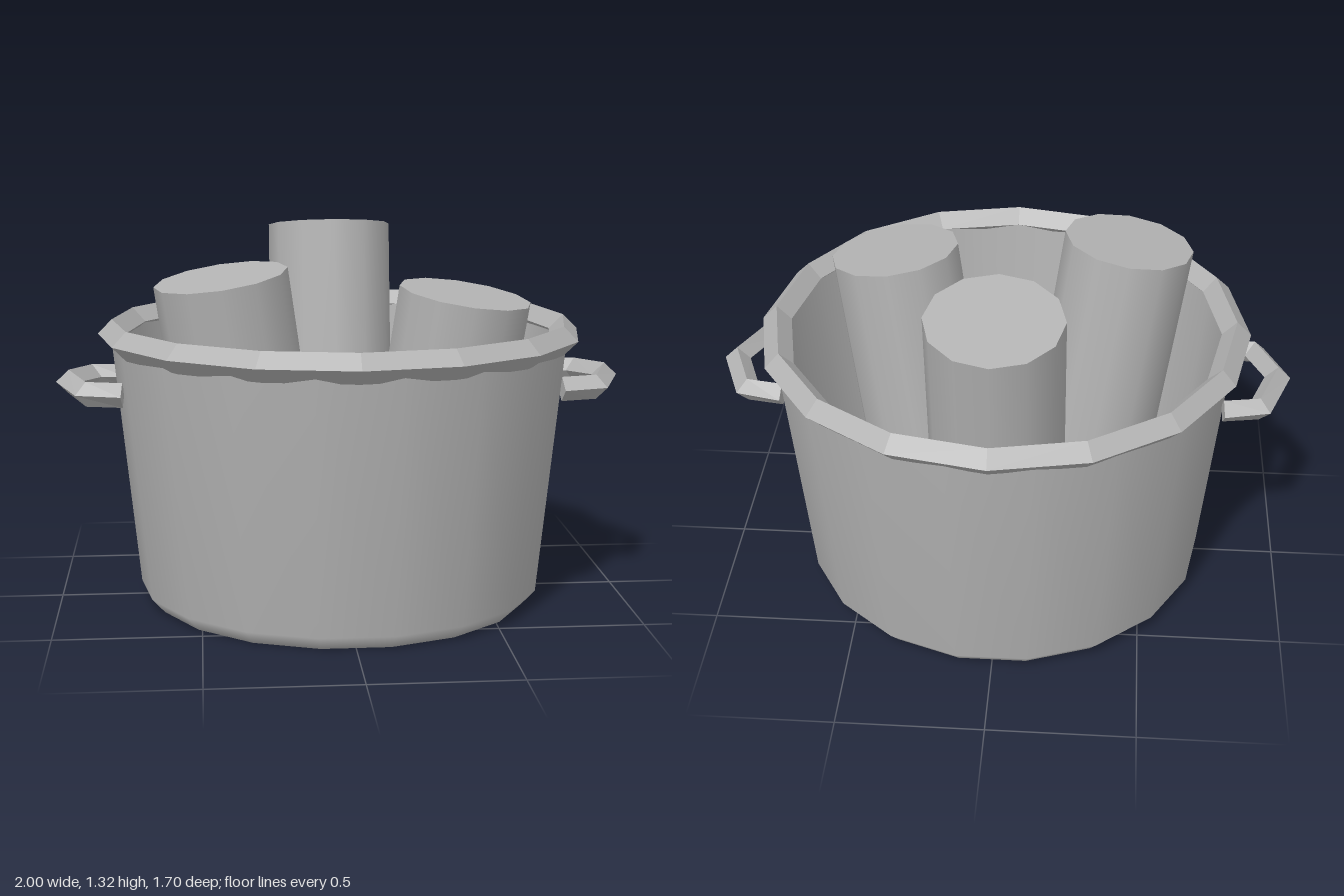
import * as THREE from 'three';

const SIDES = 18;
const V2 = (x, y) => new THREE.Vector2(x, y);

export function createModel() {
  const model = new THREE.Group();
  const grey = new THREE.MeshStandardMaterial({ color: 0xb3b3b3 });
  grey.name = 'grey';
  const greyFlat = grey.clone(); // same colour, faceted
  greyFlat.name = 'grey faceted';
  greyFlat.flatShading = true;

  const add = (name, geometry, material = grey) => {
    const mesh = new THREE.Mesh(geometry, material);
    mesh.name = name;
    model.add(mesh);
    return mesh;
  };
  const lathe = (points) => new THREE.LatheGeometry(points, SIDES, Math.PI / 2);

  // Pot body: outer wall with a chamfered foot, inner wall, base and floor
  add('outerWall', lathe([V2(0.67, 0), V2(0.715, 0.05), V2(0.805, 0.95)]));
  add('innerWall', lathe([V2(0.76, 0.95), V2(0.66, 0.05)]));
  add('base', new THREE.CircleGeometry(0.67, SIDES).rotateX(Math.PI / 2));
  add('floor', new THREE.CircleGeometry(0.66, SIDES).rotateX(-Math.PI / 2).translate(0, 0.05, 0));

  // Diamond-section rim
  add('rim', new THREE.TorusGeometry(0.8, 0.05, 4, 16).rotateX(-Math.PI / 2).translate(0, 0.95, 0), greyFlat);

  // Side handles: diamond tube bent through five stations
  add('leftHandle', handleGeometry(), greyFlat);
  add('rightHandle', handleGeometry().rotateY(Math.PI), greyFlat);

  // Leaning cylinders standing in the pot: bottom centre, top centre
  const up = new THREE.Vector3(0, 1, 0);
  const cylinders = [
    ['backCylinder', [0, 0.09, -0.31], [0, 1.283, -0.508]],
    ['frontRightCylinder', [-0.265, 0.09, 0.15], [-0.421, 1.172, 0.238]],
    ['frontLeftCylinder', [0.265, 0.09, 0.15], [0.41, 1.107, 0.238]],
  ];
  for (const [name, from, to] of cylinders) {
    const a = new THREE.Vector3(...from), b = new THREE.Vector3(...to);
    const axis = b.clone().sub(a);
    const mesh = add(name, new THREE.CylinderGeometry(0.228, 0.228, axis.length(), 12));
    mesh.position.copy(a).add(b).multiplyScalar(0.5);
    mesh.quaternion.setFromUnitVectors(up, axis.normalize());
  }
  return model;
}

// Each station: centre x, y, z and outward mitre offset in x, z
function handleGeometry() {
  const half = [[0.76, 0.765, 0.2, 0.005, 0.042], [0.885, 0.768, 0.183, 0.035, 0.026]];
  const stations = [
    ...half,
    [0.955, 0.78, 0, 0.045, 0],
    ...half.map(([x, y, z, ox, oz]) => [x, y, -z, ox, -oz]).reverse(),
  ];
  const positions = [], index = [];
  for (const [x, y, z, ox, oz] of stations) {
    positions.push(x + ox, y, z + oz, x, y + 0.043, z, x - ox, y, z - oz, x, y - 0.043, z);
  }
  for (let i = 0; i < stations.length - 1; i++) {
    for (let j = 0; j < 4; j++) {
      const a = i * 4 + j, b = i * 4 + (j + 1) % 4;
      index.push(a, a + 4, b, b, a + 4, b + 4);
    }
  }
  // End caps
  const e = (stations.length - 1) * 4;
  index.push(0, 1, 2, 0, 2, 3, e, e + 2, e + 1, e, e + 3, e + 2);
  const geometry = new THREE.BufferGeometry();
  geometry.setAttribute('position', new THREE.Float32BufferAttribute(positions, 3));
  geometry.setIndex(index);
  geometry.computeVertexNormals();
  return geometry;
}
